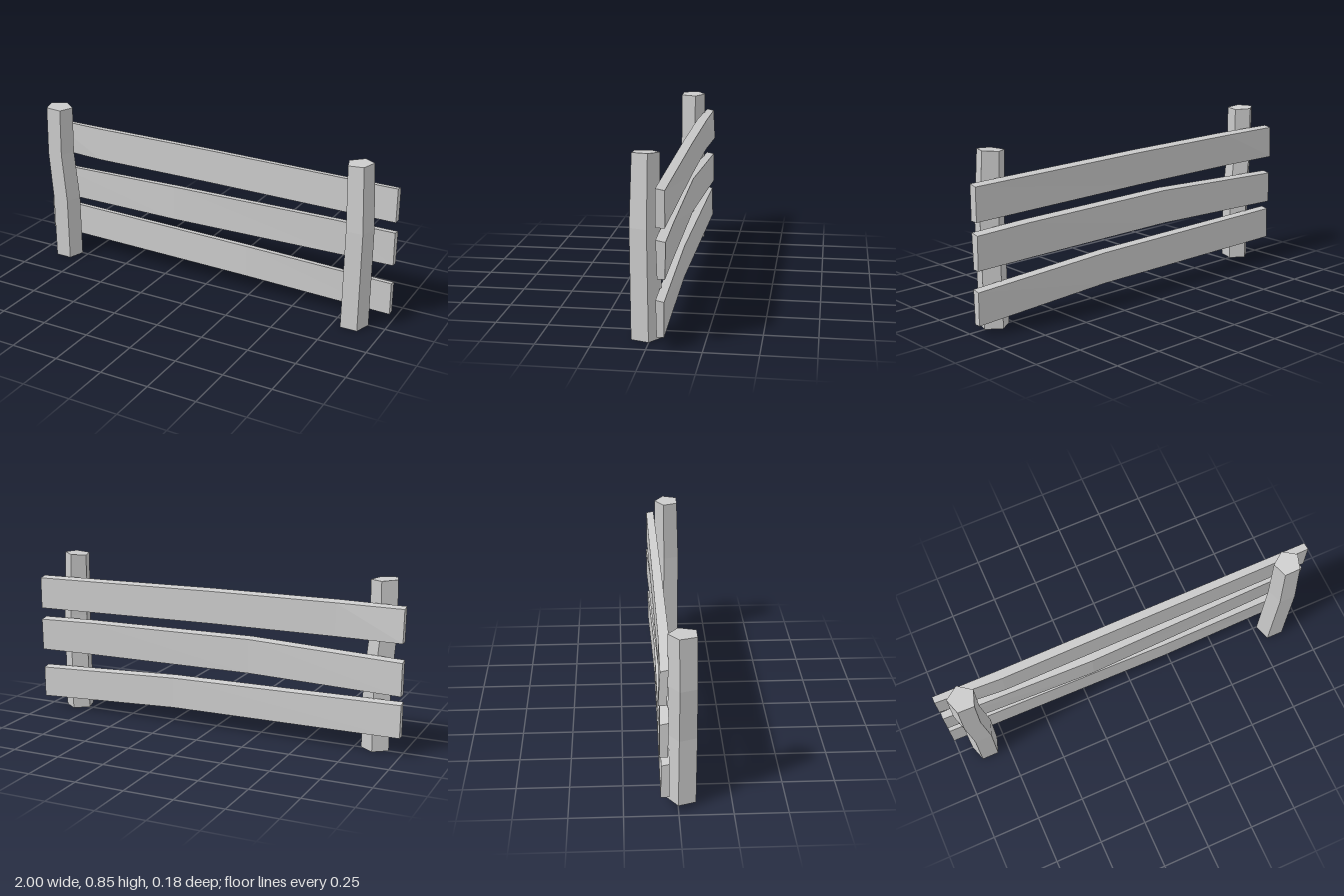
import * as THREE from 'three';

const material = new THREE.MeshStandardMaterial({ color: 0xcccccc, flatShading: true });

// Closed, faceted skin through rings that run counterclockwise seen from the far end
function loft(name, rings) {
  const pos = [];
  const tri = (a, b, c) => pos.push(...a, ...b, ...c);
  const n = rings[0].length;
  for (let i = 0; i < rings.length - 1; i++) {
    for (let j = 0; j < n; j++) {
      const k = (j + 1) % n;
      const [a, b, c, d] = [rings[i][j], rings[i][k], rings[i + 1][k], rings[i + 1][j]];
      tri(a, b, c);
      tri(a, c, d);
    }
  }
  const first = rings[0], last = rings[rings.length - 1];
  for (let j = 1; j < n - 1; j++) {
    tri(first[0], first[j + 1], first[j]);
    tri(last[0], last[j], last[j + 1]);
  }
  const geometry = new THREE.BufferGeometry();
  geometry.setAttribute('position', new THREE.Float32BufferAttribute(pos, 3));
  geometry.computeVertexNormals();
  const mesh = new THREE.Mesh(geometry, material);
  mesh.name = name;
  return mesh;
}

// Five-sided post; each station is [y, centre x, centre z, radius], topTilt slopes the cut end
function post(name, stations, topTilt) {
  return loft(name, stations.map(([y, cx, cz, r], i) =>
    Array.from({ length: 5 }, (_, j) => {
      const a = Math.PI / 2 + (j * Math.PI * 2) / 5;
      const tilt = i === stations.length - 1 ? topTilt * Math.cos(a) : 0;
      return [cx + r * Math.cos(a), y + tilt, cz - r * Math.sin(a)];
    })));
}

// Plank; each station is [x, bottom y, top y, bottom front z, bottom back z, top front z, top back z]
function rail(name, stations) {
  return loft(name, stations.map(([x, y0, y1, bf, bb, tf, tb]) => [
    [x, y0, bf], [x, y0, bb], [x, y1 - 0.008, tb], [x, y1, tf],
  ]));
}

export function createModel() {
  const fence = new THREE.Group();
  fence.name = 'fence';

  // Posts with slight bends
  fence.add(
    post('rightPost', [
      [0, -0.855, 0.024, 0.074],
      [0.34, -0.853, 0.027, 0.074],
      [0.6, -0.876, 0.027, 0.071],
      [0.85, -0.873, 0.024, 0.071],
    ], -0.004),
    post('leftPost', [
      [0, 0.842, 0.024, 0.075],
      [0.52, 0.846, 0.029, 0.073],
      [0.85, 0.832, 0.024, 0.067],
    ], 0.005),
  );

  // Warped planks on the back of the posts
  fence.add(
    rail('topRail', [
      [-1, 0.57, 0.742, -0.055, -0.093, -0.047, -0.084],
      [-0.66, 0.568, 0.742, -0.031, -0.078, -0.031, -0.08],
      [0, 0.566, 0.74, -0.036, -0.08, -0.036, -0.082],
      [1, 0.554, 0.727, -0.046, -0.087, -0.046, -0.087],
    ]),
    rail('middleRail', [
      [-1, 0.31, 0.482, -0.05, -0.088, -0.046, -0.086],
      [-0.2, 0.325, 0.508, -0.016, -0.062, -0.016, -0.062],
      [0.7, 0.326, 0.506, -0.042, -0.08, -0.038, -0.082],
      [1, 0.325, 0.5, -0.052, -0.087, -0.046, -0.09],
    ]),
    rail('bottomRail', [
      [-1, 0.1, 0.273, -0.042, -0.083, -0.042, -0.08],
      [0.22, 0.09, 0.258, -0.028, -0.07, -0.028, -0.07],
      [1, 0.06, 0.23, -0.049, -0.082, -0.045, -0.083],
    ]),
  );
  return fence;
}
